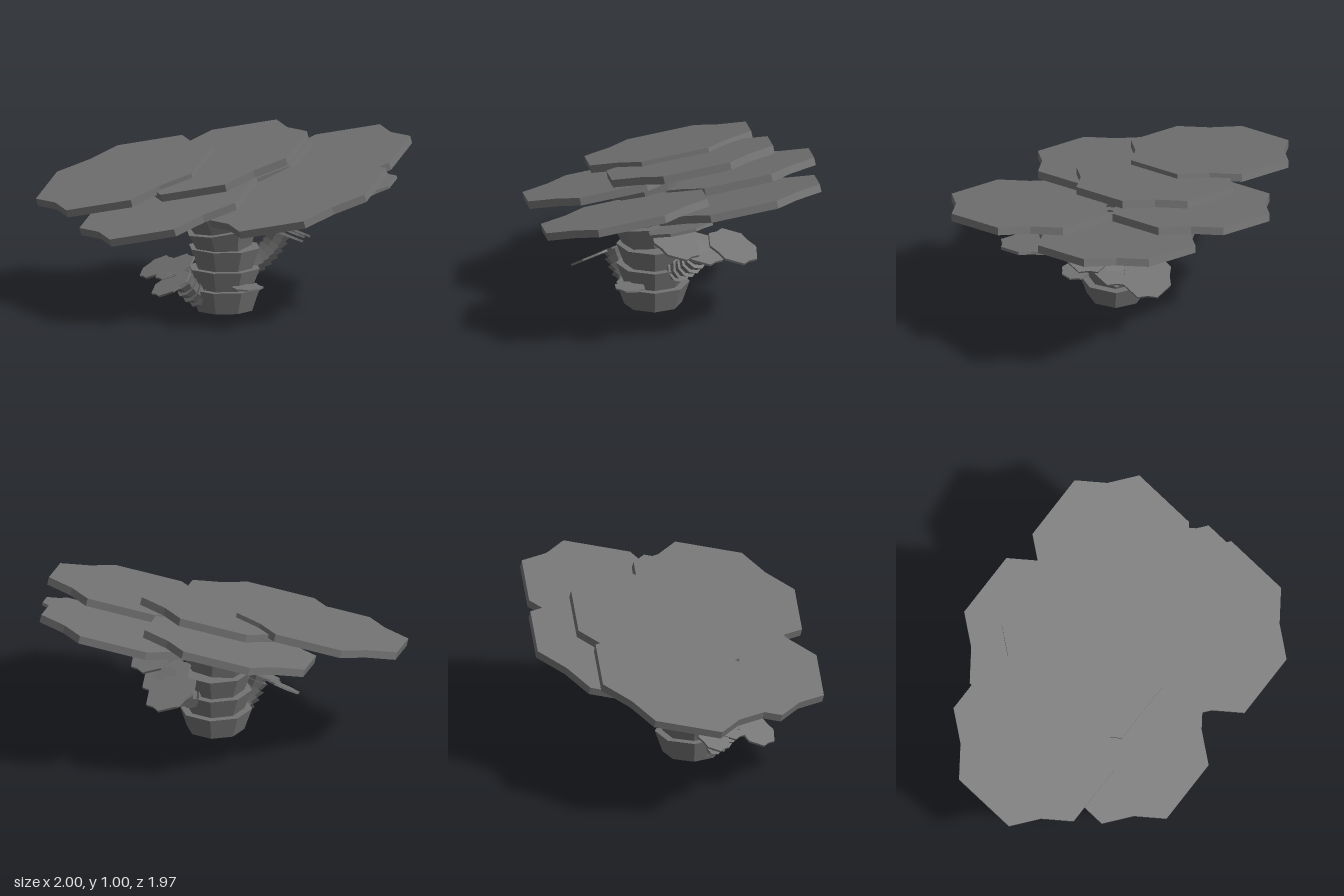
import * as THREE from 'three';

const material = new THREE.MeshStandardMaterial({ color: 0x737373, flatShading: true });
const UP = new THREE.Vector3(0, 1, 0);

// Scalloped plate with twelve corners, its upper face at y = 0
function plateGeometry(size, thickness) {
  const outline = [
    [0.475, 0], [0.505, 0.19], [0.21, 0.46], [0, 0.435], [-0.21, 0.46], [-0.505, 0.19],
    [-0.475, 0], [-0.505, -0.19], [-0.21, -0.46], [0, -0.435], [0.21, -0.46], [0.505, -0.19],
  ];
  const shape = new THREE.Shape(outline.map(([x, y]) => new THREE.Vector2(x * size, y * size)));
  const geometry = new THREE.ExtrudeGeometry(shape, { depth: thickness, bevelEnabled: false });
  geometry.rotateX(-Math.PI / 2);
  return geometry.translate(0, -thickness, 0);
}

// Plate placed by the centre of its upper face
function addPlate(parent, name, [x, y, z], size, thickness, tilt) {
  const plate = new THREE.Mesh(plateGeometry(size, thickness), material);
  plate.name = name;
  plate.position.set(x, y, z);
  plate.rotation.z = THREE.MathUtils.degToRad(tilt);
  parent.add(plate);
}

// Stack of cups, each flaring upward, following a list of points
function addStem(parent, name, points, bottomRadius, topRadius) {
  const stem = new THREE.Group();
  stem.name = name;
  for (let i = 0; i < points.length - 1; i++) {
    const direction = points[i + 1].clone().sub(points[i]);
    const length = direction.length();
    const cup = new THREE.Mesh(new THREE.CylinderGeometry(topRadius, bottomRadius, length, 8), material);
    cup.name = name + 'Segment';
    cup.position.copy(points[i]).addScaledVector(direction, 0.5);
    cup.quaternion.setFromUnitVectors(UP, direction.normalize());
    stem.add(cup);
  }
  parent.add(stem);
}

const toPoints = (list, z) => list.map(([x, y]) => new THREE.Vector3(x, y, z));

export function createModel() {
  const model = new THREE.Group();
  model.name = 'plateTree';

  // Trunk, leaning toward -x near the top
  const trunk = [[-0.143, 0], [-0.143, 0.133], [-0.143, 0.253], [-0.143, 0.375],
    [-0.163, 0.495], [-0.195, 0.61], [-0.23, 0.725]];
  addStem(model, 'trunk', toPoints(trunk, 0.02), 0.17, 0.216);

  // Side branches, curving upward
  const branches = {
    leftBranch: [[0, 0.23], [0.1, 0.28], [0.18, 0.35], [0.23, 0.43]],
    rightBranch: [[-0.24, 0.06], [-0.34, 0.115], [-0.41, 0.19], [-0.45, 0.27]],
  };
  for (const [name, list] of Object.entries(branches)) {
    const curve = new THREE.CatmullRomCurve3(toPoints(list, 0.015));
    addStem(model, name, curve.getSpacedPoints(7), 0.055, 0.075);
  }

  // Canopy of large tilted plates
  const canopy = [
    [-0.515, 0.75, -0.53], [-0.515, 0.675, 0.015], [-0.06, 0.857, -0.21],
    [0.075, 0.758, -0.42], [0.075, 0.758, 0.52], [0.505, 0.815, 0.015],
  ];
  canopy.forEach((position) => addPlate(model, 'canopyPlate', position, 1, 0.046, 16.5));
  addPlate(model, 'smallCanopyPlate', [0.51, 0.765, 0.515], 0.385, 0.018, 16.5);

  // Small plates on the branches
  addPlate(model, 'leftBranchPlate', [0.18, 0.495, 0.18], 0.29, 0.014, -24);
  addPlate(model, 'leftBranchPlate', [0.22, 0.43, 0.015], 0.29, 0.014, -24);
  addPlate(model, 'leftBranchPlate', [0.32, 0.415, -0.165], 0.3, 0.014, -24);
  addPlate(model, 'rightBranchPlate', [-0.55, 0.215, 0.12], 0.24, 0.012, 30);
  addPlate(model, 'rightBranchPlate', [-0.45, 0.275, -0.02], 0.24, 0.012, 30);
  addPlate(model, 'rightBranchPlate', [-0.485, 0.25, -0.185], 0.205, 0.012, 30);

  // Flat shelf at the front of the trunk
  addPlate(model, 'trunkShelf', [-0.115, 0.172, 0.255], 0.175, 0.01, 0);

  return model;
}
